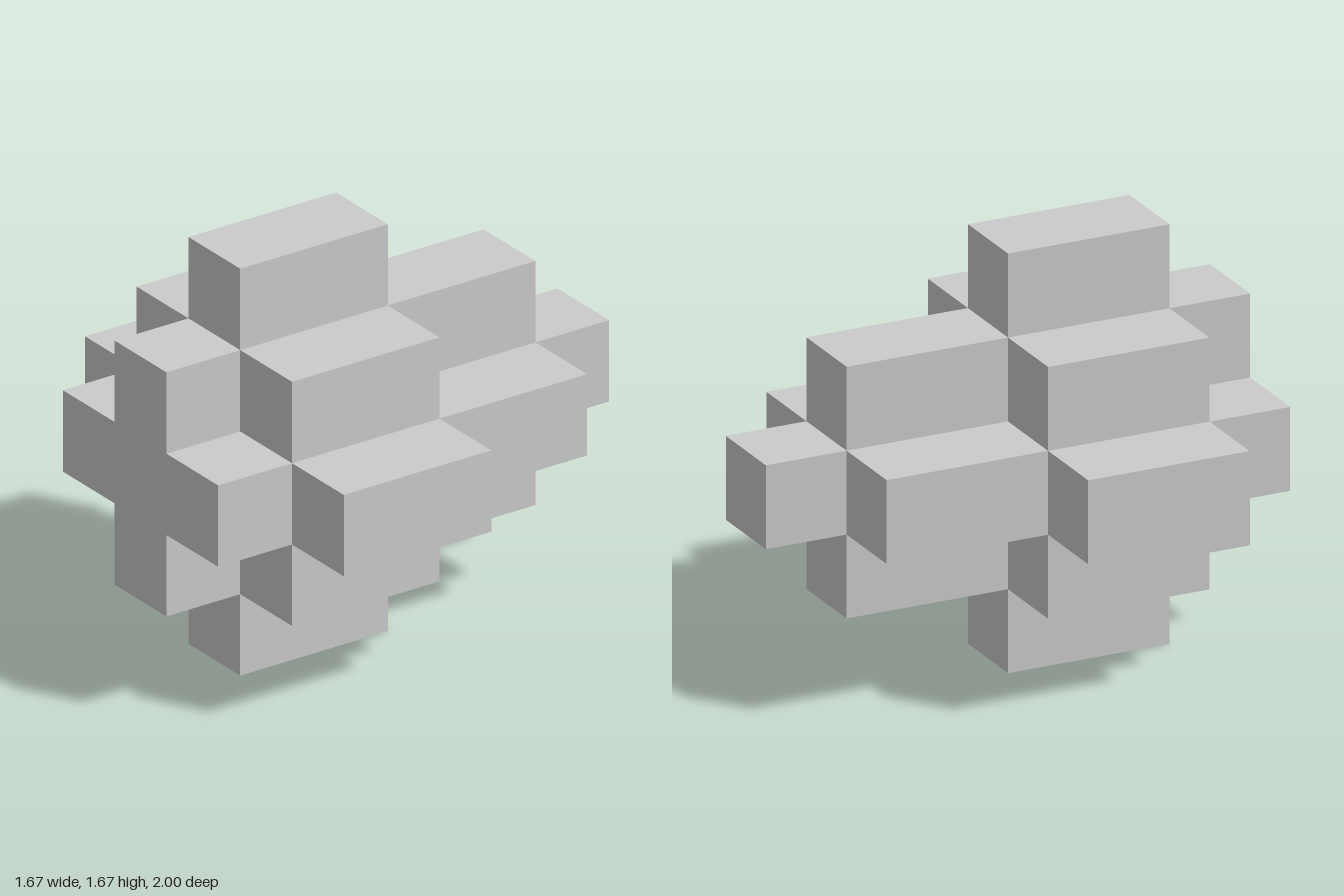
import * as THREE from 'three';

const U = 1 / 3;          // edge of one grid cell
const MID_Y = 2.5 * U;    // height of the long axis

export function createModel() {
  const model = new THREE.Group();
  model.name = 'steppedBlock';
  const material = new THREE.MeshStandardMaterial({ color: 0xcccccc, flatShading: true });

  const add = (name, geometry, x, y, z) => {
    const mesh = new THREE.Mesh(geometry, material);
    mesh.name = name;
    mesh.position.set(x * U, MID_Y + y * U, z * U);
    model.add(mesh);
  };

  // Plus-shaped core running from the front to just short of the back
  const quarter = [[1.5, 0.5], [0.5, 0.5], [0.5, 1.5]];
  const outline = [];
  for (let k = 0; k < 4; k++) {
    for (const [x, y] of quarter) {
      outline.push(new THREE.Vector2(x * U, y * U).rotateAround(new THREE.Vector2(), k * Math.PI / 2));
    }
  }
  const core = new THREE.ExtrudeGeometry(new THREE.Shape(outline), { depth: 5 * U, bevelEnabled: false });
  add('crossCore', core, 0, 0, -2);

  // Two-cell-long bars around the front half: four tips and four inner corners
  const bar = new THREE.BoxGeometry(U, U, 2 * U);
  for (const s of [-1, 1]) {
    add(s > 0 ? 'leftBar' : 'rightBar', bar, 2 * s, 0, 1);
    add(s > 0 ? 'topBar' : 'bottomBar', bar, 0, 2 * s, 1);
    for (const t of [-1, 1]) {
      add(`${t > 0 ? 'upper' : 'lower'}${s > 0 ? 'Left' : 'Right'}Bar`, bar, s, t, 1);
    }
  }

  // Single cube at the back
  add('backCube', new THREE.BoxGeometry(U, U, U), 0, 0, -2.5);

  return model;
}
